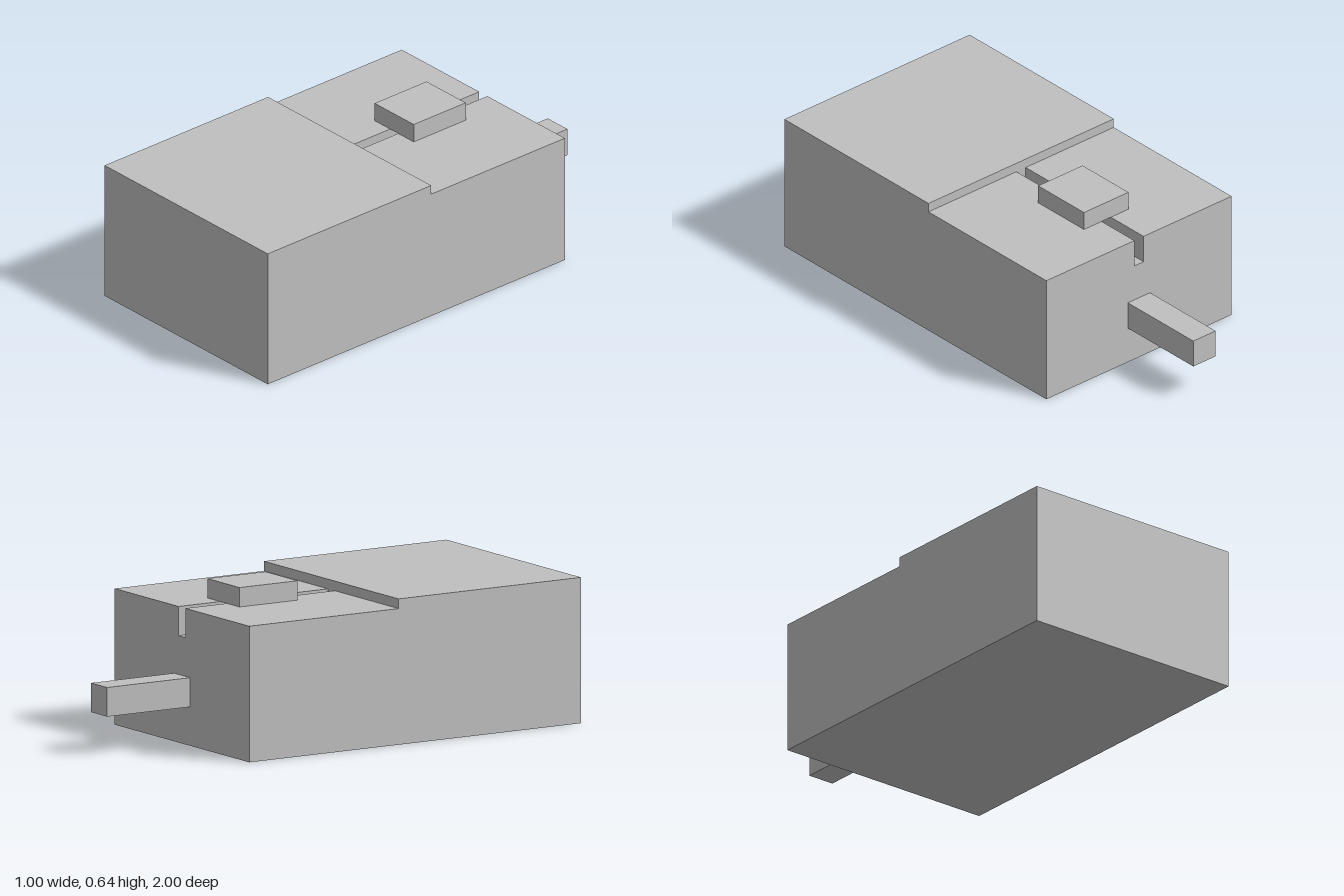
import * as THREE from 'three';

const grey = new THREE.MeshStandardMaterial({ color: 0xc0c0c0 });
grey.name = 'plain grey';

// Box given by its min and max corners
function box(name, [x0, y0, z0], [x1, y1, z1]) {
  const geometry = new THREE.BoxGeometry(x1 - x0, y1 - y0, z1 - z0);
  geometry.translate((x0 + x1) / 2, (y0 + y1) / 2, (z0 + z1) / 2);
  const mesh = new THREE.Mesh(geometry, grey);
  mesh.name = name;
  return mesh;
}

// Lower rear half of the body: a block with a narrow slot along its top
function slottedBody() {
  const slot = 0.025, floor = 0.44, top = 0.56;
  const section = new THREE.Shape([
    [-0.5, 0], [0.5, 0], [0.5, top], [slot, top],
    [slot, floor], [-slot, floor], [-slot, top], [-0.5, top],
  ].map(([x, y]) => new THREE.Vector2(x, y)));
  const geometry = new THREE.ExtrudeGeometry(section, { depth: 0.72, bevelEnabled: false });
  geometry.translate(0, 0, -0.6);
  const mesh = new THREE.Mesh(geometry, grey);
  mesh.name = 'slottedRearBody';
  return mesh;
}

export function createModel() {
  const model = new THREE.Group();
  model.name = 'slottedBlock';
  model.add(
    box('raisedFrontBody', [-0.5, 0, 0.12], [0.5, 0.6, 1]),
    slottedBody(),
    // Square slider resting over the slot
    box('sliderButton', [-0.12, 0.56, -0.4], [0.12, 0.64, -0.12]),
    // Square bar sticking out of the back
    box('rearBar', [-0.06, 0.16, -1], [0.06, 0.28, -0.6]),
  );
  return model;
}
